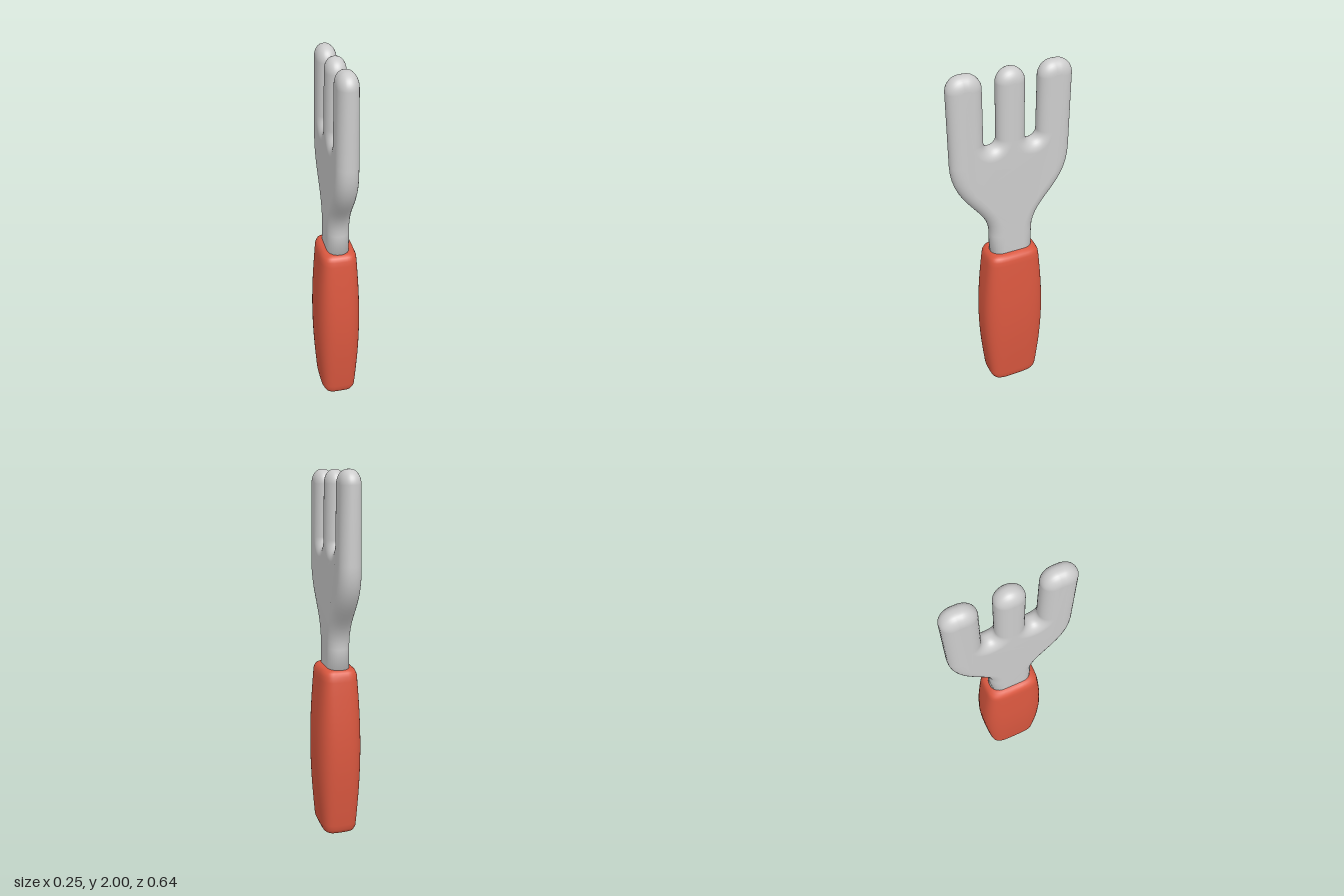
import * as THREE from 'three';
import { mergeVertices } from 'three/addons/utils/BufferGeometryUtils.js';

const STEEL = new THREE.MeshStandardMaterial({ color: 0xcccccc });
const GRIP = new THREE.MeshStandardMaterial({ color: 0xd9573f });

// Outline of the fork head: neck, flared palm and three round-tipped tines
function headShape() {
  const s = new THREE.Shape();
  s.moveTo(0.118, 0.88);
  s.lineTo(0.118, 1.08);
  s.bezierCurveTo(0.118, 1.26, 0.318, 1.3, 0.318, 1.54);
  // outer tine
  s.lineTo(0.318, 1.925);
  s.absarc(0.243, 1.925, 0.075, 0, Math.PI / 2, false);
  s.absarc(0.22, 1.925, 0.075, Math.PI / 2, Math.PI, false);
  // slot
  s.absarc(0.1085, 1.646, 0.0365, 0, -Math.PI, true);
  // middle tine
  s.absarc(0, 1.928, 0.072, 0, Math.PI, false);
  // slot and outer tine, mirrored
  s.absarc(-0.1085, 1.646, 0.0365, 0, -Math.PI, true);
  s.absarc(-0.22, 1.925, 0.075, 0, Math.PI / 2, false);
  s.absarc(-0.243, 1.925, 0.075, Math.PI / 2, Math.PI, false);
  s.lineTo(-0.318, 1.54);
  s.bezierCurveTo(-0.318, 1.3, -0.118, 1.26, -0.118, 1.08);
  s.lineTo(-0.118, 0.88);
  s.closePath();
  return s;
}

function forkHead() {
  const bevel = 0.062;
  let geo = new THREE.ExtrudeGeometry(headShape(), {
    depth: 0.01, bevelThickness: 0.055, bevelSize: bevel, bevelOffset: -bevel,
    bevelSegments: 8, curveSegments: 14,
  });
  geo.translate(0, 0, -0.005);
  geo.rotateY(Math.PI / 2);
  // tines get slightly thinner towards the tips
  const p = geo.attributes.position;
  for (let i = 0; i < p.count; i++) {
    const t = THREE.MathUtils.smoothstep(p.getY(i), 1.3, 1.95);
    p.setX(i, p.getX(i) * (1 - 0.13 * t));
  }
  geo.deleteAttribute('normal');
  geo.deleteAttribute('uv');
  geo = mergeVertices(geo, 1e-5);
  geo.computeVertexNormals();
  return new THREE.Mesh(geo, STEEL);
}

// Barrel-shaped grip: superellipse sections [y, half x, half z, exponent]
function handle() {
  const sections = [
    [0, 0, 0, 4], [0.004, 0.04, 0.06, 4], [0.01, 0.075, 0.115, 4],
    [0.02, 0.09, 0.135, 4], [0.042, 0.099, 0.146, 4],
  ];
  for (let i = 0; i <= 12; i++) {
    const t = i / 12, b = Math.sin(Math.PI * t);
    sections.push([0.07 + 0.84 * t, 0.102 + 0.022 * b, 0.151 + 0.03 * b, 3.8 - 0.7 * b]);
  }
  sections.push([0.938, 0.099, 0.146, 4], [0.958, 0.091, 0.137, 4],
    [0.969, 0.077, 0.118, 4], [0.974, 0.04, 0.06, 4], [0.975, 0, 0, 4]);

  const N = 48, pos = [], idx = [];
  const pw = (v, n) => Math.sign(v) * Math.pow(Math.abs(v), 2 / n);
  sections.forEach(([y, a, b, n], r) => {
    for (let j = 0; j < N; j++) {
      const u = (j / N) * Math.PI * 2;
      pos.push(a * pw(Math.cos(u), n), y, b * pw(Math.sin(u), n));
      if (r === 0) continue;
      const k = (j + 1) % N, lo = (r - 1) * N, hi = r * N;
      idx.push(lo + j, hi + j, lo + k, hi + j, hi + k, lo + k);
    }
  });
  let geo = new THREE.BufferGeometry();
  geo.setAttribute('position', new THREE.Float32BufferAttribute(pos, 3));
  geo.setIndex(idx);
  geo = mergeVertices(geo, 1e-5);
  geo.computeVertexNormals();
  return new THREE.Mesh(geo, GRIP);
}

export function createModel() {
  const model = new THREE.Group();
  model.name = 'handFork';
  const head = forkHead();
  head.name = 'forkHead';
  const grip = handle();
  grip.name = 'handle';
  model.add(head, grip);
  return model;
}
